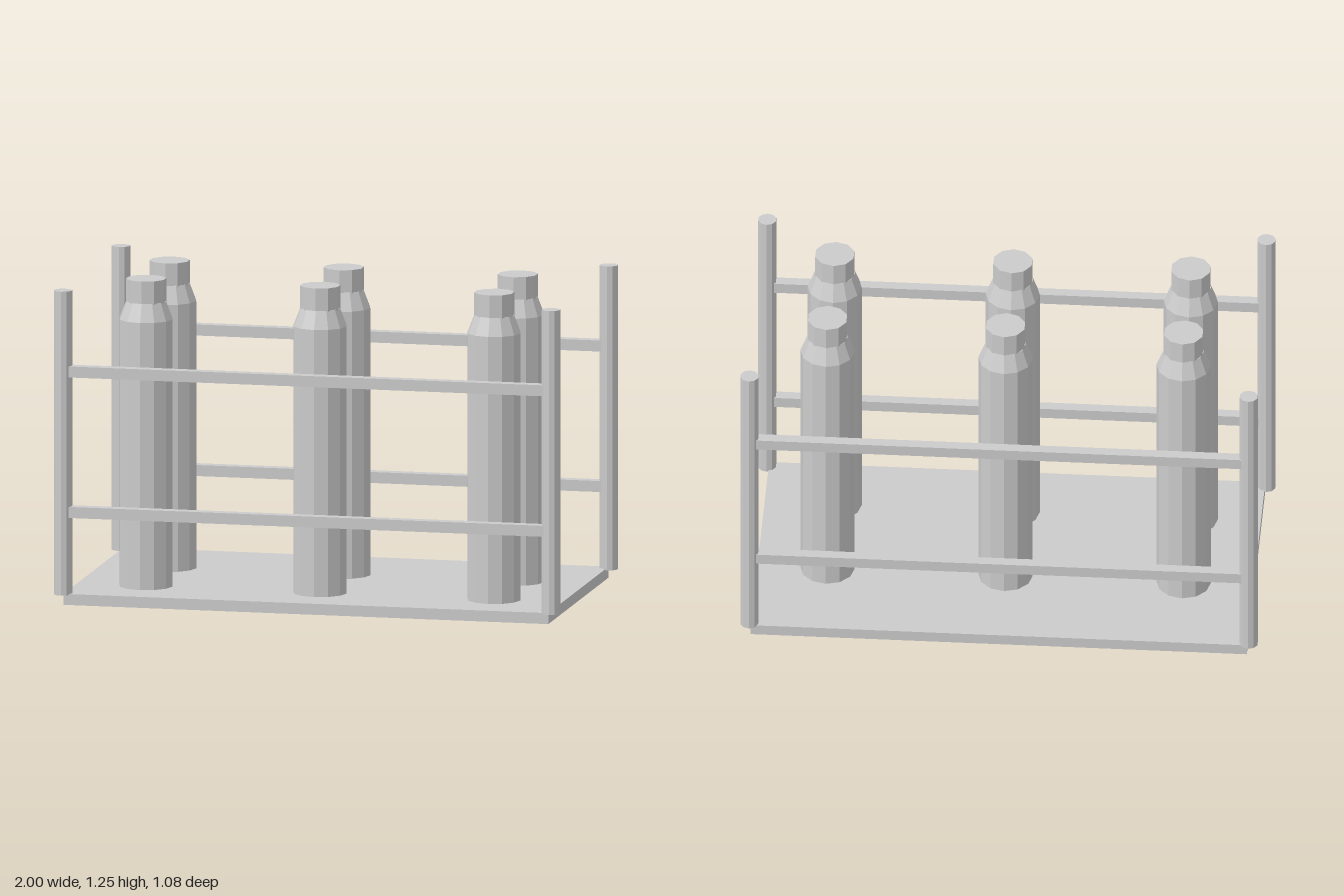
import * as THREE from 'three';

const material = new THREE.MeshStandardMaterial({ color: 0xcccccc, flatShading: true });

function add(parent, name, geometry, x, y, z) {
  const mesh = new THREE.Mesh(geometry, material);
  mesh.name = name;
  mesh.position.set(x, y, z);
  parent.add(mesh);
  return mesh;
}

// Upright prism or cone standing between two heights
function addUpright(parent, name, rTop, rBottom, y0, y1, sides, x = 0, z = 0) {
  const geometry = new THREE.CylinderGeometry(rTop, rBottom, y1 - y0, sides);
  return add(parent, name, geometry, x, (y0 + y1) / 2, z);
}

// Gas cylinder: straight body, sloped shoulder, faceted cap
function createCylinder() {
  const cylinder = new THREE.Group();
  cylinder.name = 'gasCylinder';
  addUpright(cylinder, 'body', 0.105, 0.105, 0.04, 1.09, 12);
  addUpright(cylinder, 'shoulder', 0.078, 0.105, 1.09, 1.16, 12);
  addUpright(cylinder, 'cap', 0.078, 0.078, 1.155, 1.248, 10);
  return cylinder;
}

export function createModel() {
  const model = new THREE.Group();
  model.name = 'cylinderRack';

  // Floor plate
  add(model, 'base', new THREE.BoxGeometry(1.92, 0.043, 1.052), 0, 0.0215, 0);

  // Corner posts, with two rails along the front and the back
  for (const side of [1, -1]) {
    const z = side * 0.505;
    for (const x of [-0.966, 0.966]) {
      addUpright(model, 'post', 0.036, 0.036, 0.038, 1.23, 10, x, z);
    }
    for (const y of [0.363, 0.914]) {
      add(model, 'rail', new THREE.BoxGeometry(1.92, 0.043, 0.042), 0, y, z);
    }
  }

  // Two rows of three cylinders
  for (const z of [0.276, -0.136]) {
    for (const x of [-0.689, 0, 0.689]) {
      const cylinder = createCylinder();
      cylinder.position.set(x, 0, z);
      model.add(cylinder);
    }
  }
  return model;
}
